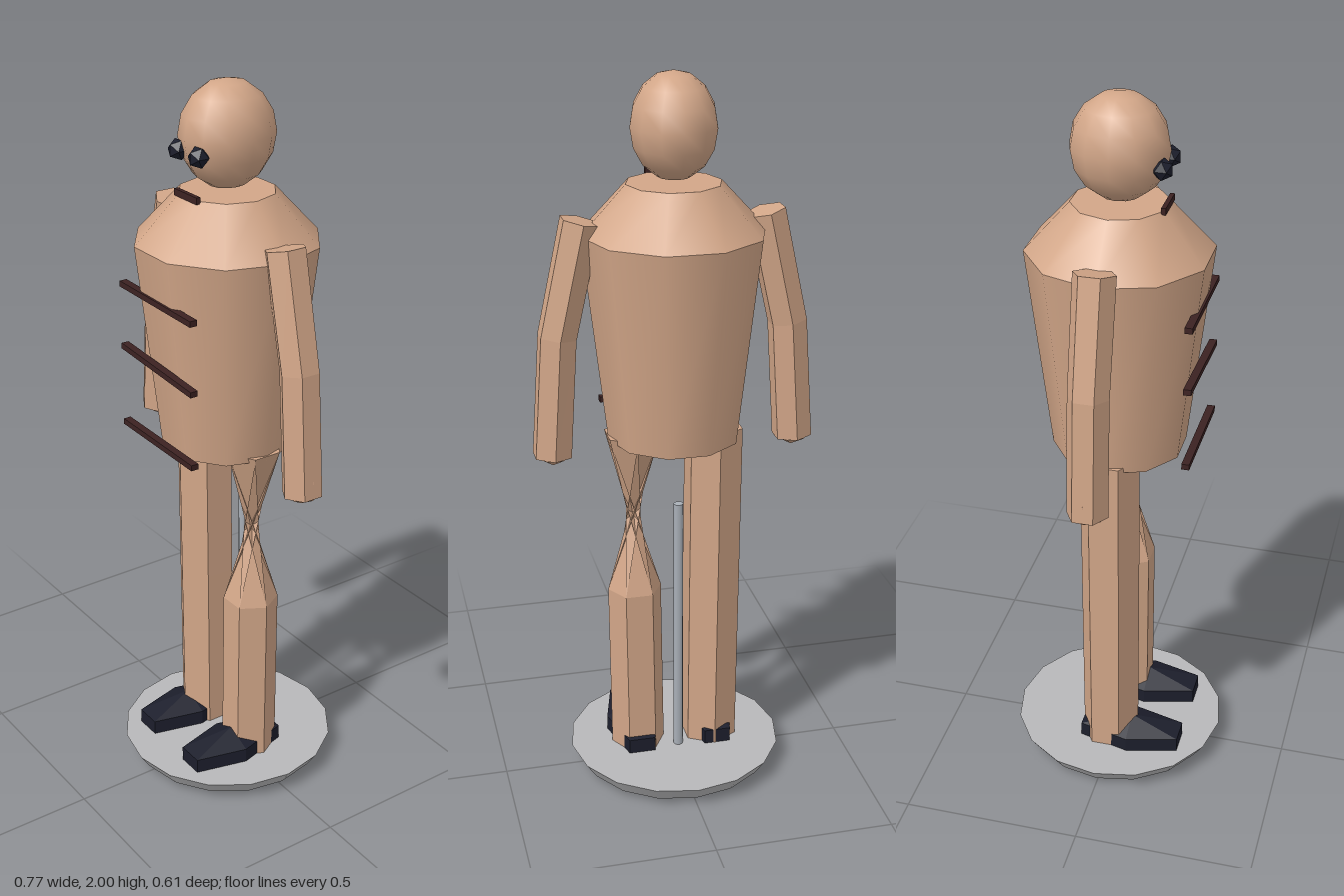
import * as THREE from 'three';

const mat = (name, color, extra = {}) => {
  const m = new THREE.MeshStandardMaterial({ color, ...extra });
  m.name = name;
  return m;
};

// Six-sided limb through rings [x, y, radius, twist, tilt], listed from top to bottom
function limbGeometry(rings, sides = 6) {
  const rows = rings.map(([x, y, r, twist = 0, tilt = 0]) =>
    Array.from({ length: sides }, (_, k) => {
      const a = Math.PI / 2 + twist + (k * 2 * Math.PI) / sides;
      const u = r * Math.cos(a);
      return [x + u * Math.cos(tilt), y + u * Math.sin(tilt), r * Math.sin(a)];
    }));
  const pos = [];
  const tri = (...corners) => corners.forEach((c) => pos.push(...c));
  for (let i = 0; i < rows.length - 1; i++) {
    for (let k = 0; k < sides; k++) {
      const n = (k + 1) % sides;
      tri(rows[i][k], rows[i][n], rows[i + 1][n]);
      tri(rows[i][k], rows[i + 1][n], rows[i + 1][k]);
    }
  }
  // end caps
  const last = rows.length - 1;
  for (let k = 0; k < sides; k++) {
    const n = (k + 1) % sides;
    tri([rings[0][0], rings[0][1], 0], rows[0][n], rows[0][k]);
    tri([rings[last][0], rings[last][1], 0], rows[last][k], rows[last][n]);
  }
  const g = new THREE.BufferGeometry();
  g.setAttribute('position', new THREE.Float32BufferAttribute(pos, 3));
  g.computeVertexNormals();
  return g;
}

// Flat normals for faceted parts
function faceted(geometry) {
  const g = geometry.toNonIndexed();
  g.computeVertexNormals();
  return g;
}

export function createModel() {
  const group = new THREE.Group();
  const skin = mat('skin', 0xd2a688, { side: THREE.DoubleSide });
  const dark = mat('dark navy', 0x1c1e2c);
  const brown = mat('dark brown', 0x3c2222);
  const grey = mat('base grey', 0xb8b8ba);
  const steel = mat('rod grey', 0xaab0b8);

  const add = (name, geometry, material, x = 0, y = 0, z = 0) => {
    const mesh = new THREE.Mesh(geometry, material);
    mesh.name = name;
    mesh.position.set(x, y, z);
    group.add(mesh);
    return mesh;
  };

  // Stand
  add('base', new THREE.CylinderGeometry(0.305, 0.275, 0.045, 16), grey, 0, 0.0375, 0);
  add('supportRod', new THREE.CylinderGeometry(0.014, 0.014, 0.78, 8), steel, 0, 0.44, -0.055);

  // Ten-sided torso and sloping shoulders, flat side to the front
  const torso = new THREE.CylinderGeometry(0.248, 0.182, 0.57, 10);
  const shoulders = new THREE.CylinderGeometry(0.128, 0.248, 0.13, 10);
  for (const g of [torso, shoulders]) g.rotateY(Math.PI / 10);
  add('torso', torso, skin, 0, 1.3, 0);
  add('shoulders', shoulders, skin, 0, 1.65, 0);

  // Head
  add('head', new THREE.SphereGeometry(1, 12, 8), skin, 0, 1.86, 0).scale.set(0.115, 0.14, 0.13);
  add('mouth', new THREE.BoxGeometry(0.1, 0.018, 0.012), brown, 0, 1.718, 0.123);

  // Chest bands: [height, slope]
  for (const [y, slope] of [[1.454, -0.02], [1.27, -0.07], [1.055, -0.02]]) {
    add('chestBand', new THREE.BoxGeometry(0.33, 0.016, 0.021), brown, 0, y, 0.218).rotation.z = slope;
  }

  for (const s of [1, -1]) {
    const side = s > 0 ? 'left' : 'right';
    // Eye
    add(side + 'Eye', new THREE.IcosahedronGeometry(0.029, 0), dark, s * 0.045, 1.827, 0.118);
    // Arm and hand
    add(side + 'Arm', limbGeometry([
      [s * 0.247, 1.627, 0.056, 0, s * 0.23],
      [s * 0.315, 1.32, 0.055, 0, s * 0.14],
      [s * 0.337, 0.985, 0.056, 0, s * 0.05],
    ]), skin);
    add(side + 'Hand', faceted(new THREE.SphereGeometry(0.055, 6, 3)), skin, s * 0.335, 1.01, 0);
    // Shoe
    add(side + 'Shoe', faceted(new THREE.SphereGeometry(1, 6, 3)), dark, s * 0.112, 0.068, 0.065)
      .scale.set(0.087, 0.068, 0.193);
  }

  // Legs: the left one is wrung round above the knee
  const twist = (150 * Math.PI) / 180;
  add('rightLeg', limbGeometry([
    [-0.112, 1.03, 0.083], [-0.108, 0.56, 0.083], [-0.104, 0.06, 0.082],
  ]), skin);
  add('leftLeg', limbGeometry([
    [0.117, 1.03, 0.08], [0.114, 0.56, 0.076, twist], [0.108, 0.06, 0.077, twist],
  ]), skin);

  return group;
}
